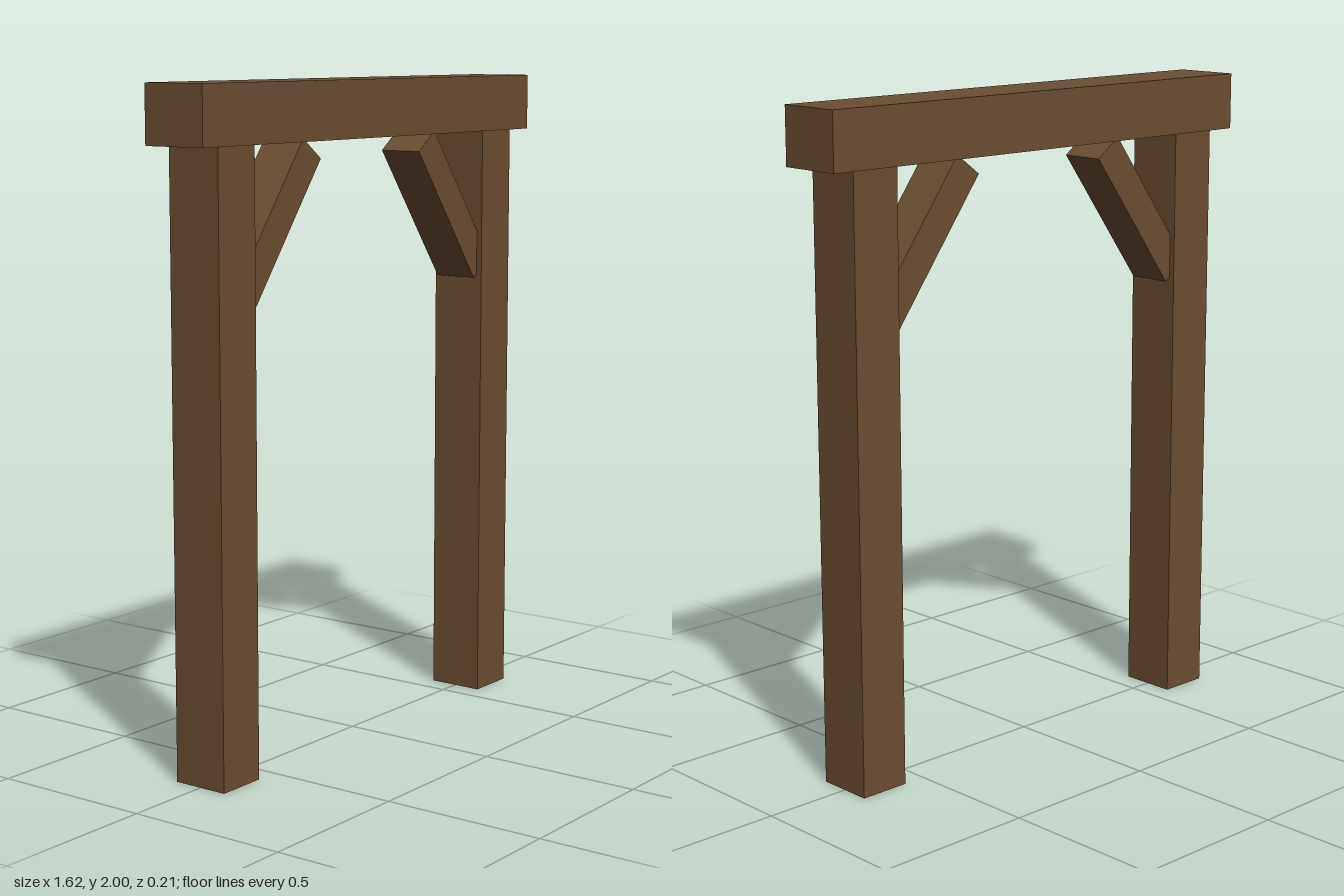
import * as THREE from 'three';

export function createModel() {
  const model = new THREE.Group();
  model.name = 'timberFrame';
  const wood = new THREE.MeshStandardMaterial({ color: 0x6b4e34 });
  wood.name = 'brownWood';

  const timber = (name, size, position, tilt = 0) => {
    const mesh = new THREE.Mesh(new THREE.BoxGeometry(...size), wood);
    mesh.name = name;
    mesh.position.set(...position);
    mesh.rotation.z = tilt;
    model.add(mesh);
  };

  // Top beam
  timber('beam', [1.616, 0.172, 0.206], [0, 1.914, 0]);

  // Post and diagonal brace on each side
  for (const [side, s] of [['left', 1], ['right', -1]]) {
    timber(side + 'Post', [0.158, 1.828, 0.176], [s * 0.649, 0.914, 0]);
    timber(side + 'Brace', [0.102, 0.515, 0.14], [s * 0.441, 1.599, 0], s * 0.639);
  }
  return model;
}
